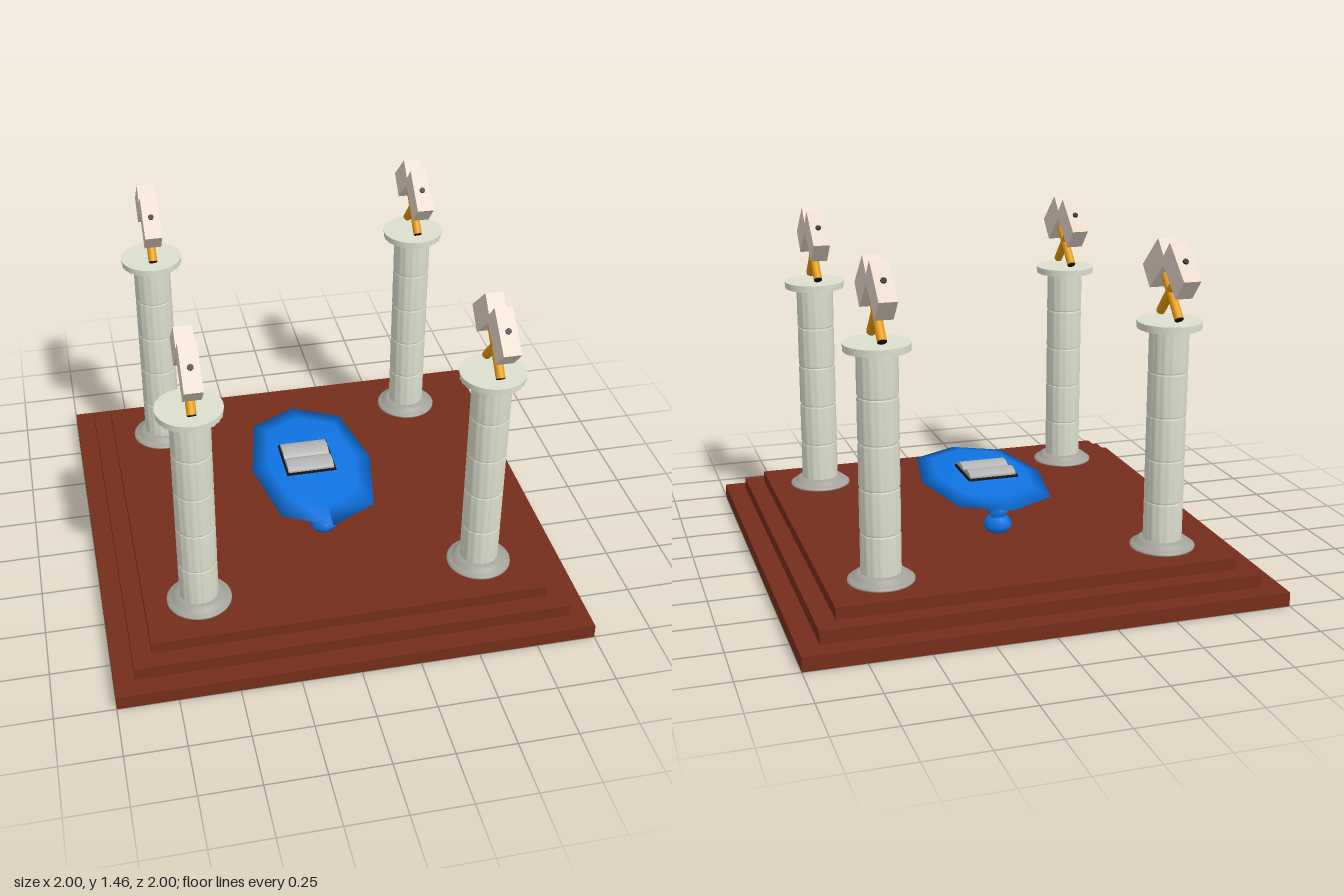
import * as THREE from 'three';

const mat = (color, extra = {}) => new THREE.MeshStandardMaterial({ color, ...extra });
const wood = mat(0x752d1b), stone = mat(0xdcdecd), plinthStone = mat(0xa3a39a);
const blue = mat(0x0f74e4), gold = mat(0xe69d0e), headStone = mat(0xe6d6c8);
const black = mat(0x151515), paper = mat(0xb4b4b4);

function add(parent, name, geometry, material, x = 0, y = 0, z = 0) {
  const mesh = new THREE.Mesh(geometry, material);
  mesh.name = name;
  mesh.position.set(x, y, z);
  parent.add(mesh);
  return mesh;
}

const lathe = (pts, segments) =>
  new THREE.LatheGeometry(pts.map(([r, y]) => new THREE.Vector2(r, y)), segments);

// Scale each vertex's distance from the y axis by a rule of its angle and height
function reshape(geometry, rule) {
  const p = geometry.attributes.position;
  for (let i = 0; i < p.count; i++) {
    const k = rule(Math.atan2(p.getX(i), p.getZ(i)), p.getY(i));
    p.setX(i, p.getX(i) * k);
    p.setZ(i, p.getZ(i) * k);
  }
  return geometry;
}

// Fluted shaft made of five stacked drums
function shaftGeometry() {
  const pts = [], bottom = 0.185, drum = 0.184;
  for (let i = 0; i < 5; i++) {
    const y = bottom + i * drum;
    pts.push([0.078, y], [0.082, y + 0.008], [0.082, y + drum - 0.008], [0.078, y + drum - 0.001]);
  }
  const g = reshape(lathe(pts, 64), (a) => 0.97 + 0.03 * Math.abs(Math.sin(a * 8)));
  g.computeVertexNormals();
  return g;
}

// Round cap with a scalloped rim
function capGeometry() {
  const g = reshape(new THREE.CylinderGeometry(0.132, 0.132, 0.024, 96),
    (a) => 0.97 + 0.03 * Math.abs(Math.sin(a * 12)));
  return g;
}

function createColumn() {
  const column = new THREE.Group();
  add(column, 'columnFoot', lathe([[0, 0.165], [0.136, 0.165], [0.136, 0.172], [0.125, 0.18],
    [0.112, 0.183], [0.106, 0.195], [0.09, 0.202], [0.078, 0.203]], 40), plinthStone);
  add(column, 'columnShaft', shaftGeometry(), stone);
  add(column, 'capRim', capGeometry(), stone, 0, 1.113, 0);
  add(column, 'capTop', new THREE.CylinderGeometry(0.134, 0.134, 0.007, 48), stone, 0, 1.1275, 0);
  return column;
}

// Hammer pivots about the point where the two handles cross
function createHammer(tilt) {
  const hammer = new THREE.Group();
  hammer.name = 'hammer';
  add(hammer, 'hammerHandle', new THREE.CylinderGeometry(0.019, 0.019, 0.265, 16), gold, 0, 0, 0);
  add(hammer, 'hammerHead', new THREE.BoxGeometry(0.073, 0.112, 0.195), headStone, 0, 0.135, 0);
  add(hammer, 'handleTip', new THREE.CylinderGeometry(0.012, 0.012, 0.008, 16), black, 0, 0.193, 0);
  add(hammer, 'handleEnd', new THREE.CylinderGeometry(0.0185, 0.0185, 0.003, 16), black, 0, -0.133, 0);
  hammer.rotation.x = tilt;
  return hammer;
}

function createTable() {
  const table = new THREE.Group();
  table.name = 'table';
  // Lens-shaped eight-sided top
  const top = reshape(lathe([[0, 0.3], [0.72, 0.303], [1, 0.328], [0.74, 0.351], [0, 0.355]], 8),
    (a) => 1 + 0.07 * Math.abs(Math.sin(2 * a)));
  top.scale(0.27, 1, 0.45);
  top.computeVertexNormals();
  add(table, 'tableTop', top, blue);
  // Legs of stacked beads, shrinking upwards
  const leg = lathe([[0, 0.165], [0.045, 0.165], [0.066, 0.198], [0.042, 0.229], [0.022, 0.233],
    [0.05, 0.254], [0.024, 0.274], [0.036, 0.288], [0.024, 0.304]], 8);
  for (const z of [0.25, -0.24]) add(table, 'tableLeg', leg, blue, 0, 0, z);
  return table;
}

function createBook() {
  const book = new THREE.Group();
  book.name = 'openBook';
  add(book, 'bookCover', new THREE.BoxGeometry(0.222, 0.01, 0.222), black, 0, 0.359, 0);
  // Two arched page blocks meeting at the spine
  const s = new THREE.Shape();
  s.moveTo(-0.105, 0);
  s.lineTo(-0.105, 0.008);
  s.bezierCurveTo(-0.075, 0.028, -0.025, 0.028, 0, 0.004);
  s.bezierCurveTo(0.025, 0.028, 0.075, 0.028, 0.105, 0.008);
  s.lineTo(0.105, 0);
  const pages = new THREE.ExtrudeGeometry(s, { depth: 0.206, bevelEnabled: false, curveSegments: 12 });
  pages.translate(0, 0, -0.103);
  pages.rotateY(Math.PI / 2);
  add(book, 'bookPages', pages, paper, 0, 0.364, 0);
  book.position.set(-0.02, 0, -0.01);
  return book;
}

export function createModel() {
  const model = new THREE.Group();
  model.name = 'pillaredPlatform';

  // Stepped platform: width, bottom, top
  for (const [w, y0, y1] of [[2, 0, 0.06], [1.83, 0.06, 0.115], [1.67, 0.115, 0.165]])
    add(model, 'platformStep', new THREE.BoxGeometry(w, y1 - y0, w), wood, 0, (y0 + y1) / 2, 0);

  // Four columns, each carrying a pair of crossed hammers
  for (const [x, z] of [[-0.605, 0.602], [0.605, 0.602], [-0.605, -0.608], [0.605, -0.617]]) {
    const column = createColumn();
    column.name = 'column';
    column.position.set(x, 0, z);
    for (const side of [1, -1]) {
      const hammer = createHammer(side * 0.74);
      hammer.position.y = 1.25;
      column.add(hammer);
    }
    model.add(column);
  }

  model.add(createTable(), createBook());
  return model;
}
